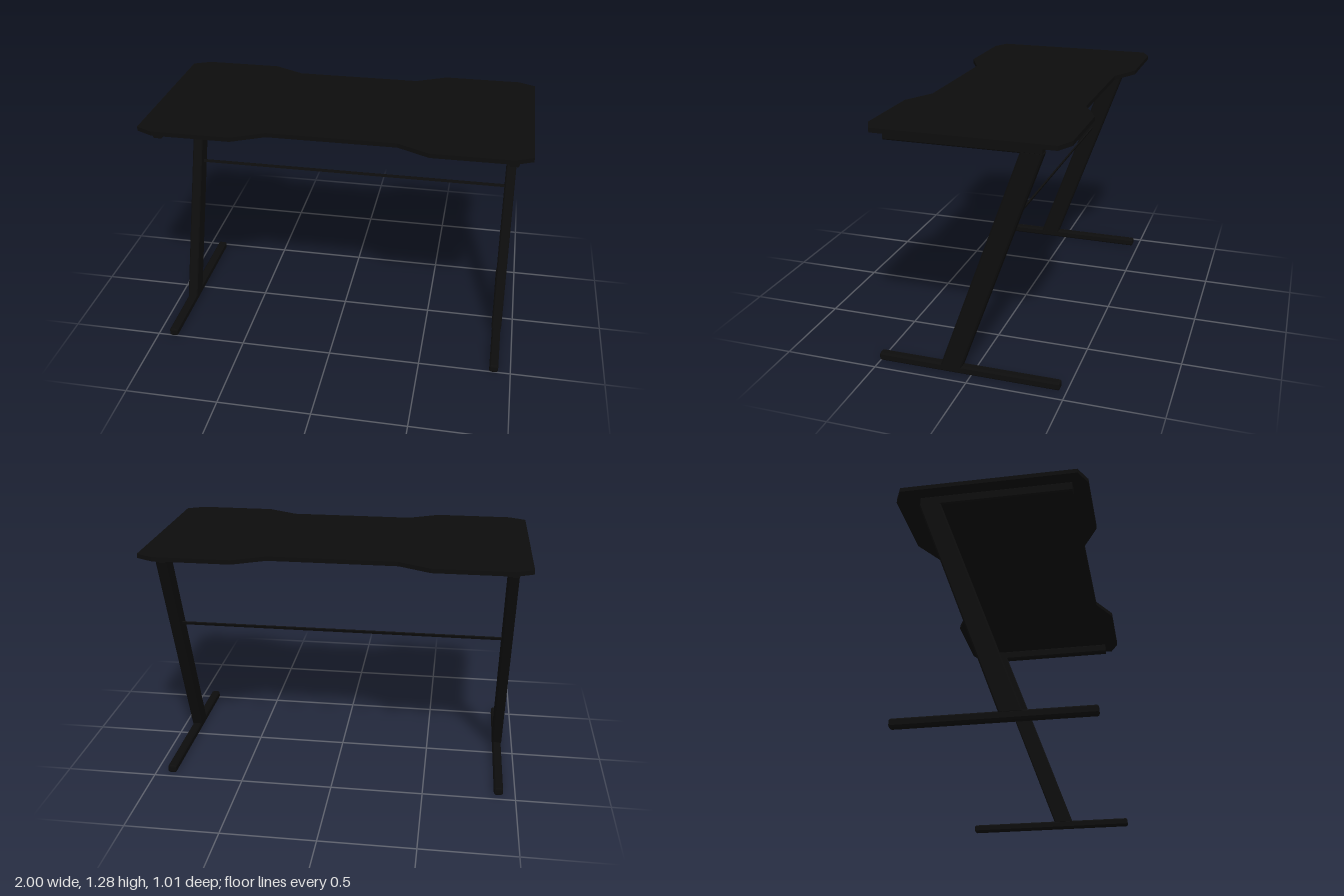
import * as THREE from 'three';

const black = new THREE.MeshStandardMaterial({ color: 0x0d0d0d });
black.name = 'matte black';

function part(name, geometry, parent) {
  const mesh = new THREE.Mesh(geometry, black);
  mesh.name = name;
  parent.add(mesh);
  return mesh;
}

// Bar along z, centred, with chamfered long edges and optional chamfered ends
function bar(w, h, length, c, endBevel = 0) {
  const x = w / 2, y = h / 2;
  const section = new THREE.Shape([
    [x - c, -y], [x, -y + c], [x, y - c], [x - c, y],
    [-x + c, y], [-x, y - c], [-x, -y + c], [-x + c, -y],
  ].map(([a, b]) => new THREE.Vector2(a, b)));
  const geometry = new THREE.ExtrudeGeometry(section, {
    depth: length - 2 * endBevel,
    bevelEnabled: endBevel > 0,
    bevelThickness: endBevel,
    bevelSize: endBevel,
    bevelOffset: -endBevel,
    bevelSegments: 2,
  });
  geometry.translate(0, 0, endBevel - length / 2);
  return geometry;
}

export function createModel() {
  const desk = new THREE.Group();
  desk.name = 'desk';

  // Tabletop: clipped corners and a shallow recess along both long edges
  const half = [
    [0.335, 0.41], [0.5, 0.495], [0.91, 0.495], [1, 0.45],
    [1, -0.46], [0.91, -0.505], [0.5, -0.505], [0.335, -0.42],
  ];
  const outline = [...half, ...half.map(([x, z]) => [-x, z]).reverse()];
  const top = new THREE.ExtrudeGeometry(
    new THREE.Shape(outline.map(([x, z]) => new THREE.Vector2(x, -z))),
    { depth: 0.023, bevelEnabled: false },
  );
  top.rotateX(-Math.PI / 2).translate(0, 1.262, 0);
  part('tabletop', top, desk);

  // Z-shaped side frames
  const slope = -0.361, footTop = 0.042, railBottom = 1.21;
  for (const [side, name] of [[1, 'left'], [-1, 'right']]) {
    const frame = new THREE.Group();
    frame.name = name + 'Frame';
    frame.position.x = side * 0.909;
    desk.add(frame);

    part('foot', bar(0.048, 0.043, 0.97, 0.008, 0.009), frame).position.set(0, 0.0215, 0.02);
    part('topRail', bar(0.05, 0.053, 0.785, 0.006), frame).position.set(0, 1.2365, 0.0225);

    // Upright leg sheared backwards
    const height = railBottom - footTop + 0.01;
    const leg = bar(0.055, 0.112, height, 0.007);
    leg.rotateX(-Math.PI / 2).translate(0, footTop - 0.005 + height / 2, 0);
    const p = leg.attributes.position;
    for (let i = 0; i < p.count; i++) {
      p.setZ(i, p.getZ(i) + 0.104 + slope * (p.getY(i) - footTop));
    }
    leg.computeVertexNormals();
    part('leg', leg, frame);
  }

  // Flat cross brace following the lean of the legs
  const brace = part('crossBrace', new THREE.BoxGeometry(1.77, 0.016, 0.008), desk);
  brace.position.set(0, 0.795, -0.167);
  brace.rotation.x = Math.atan(slope);

  return desk;
}
